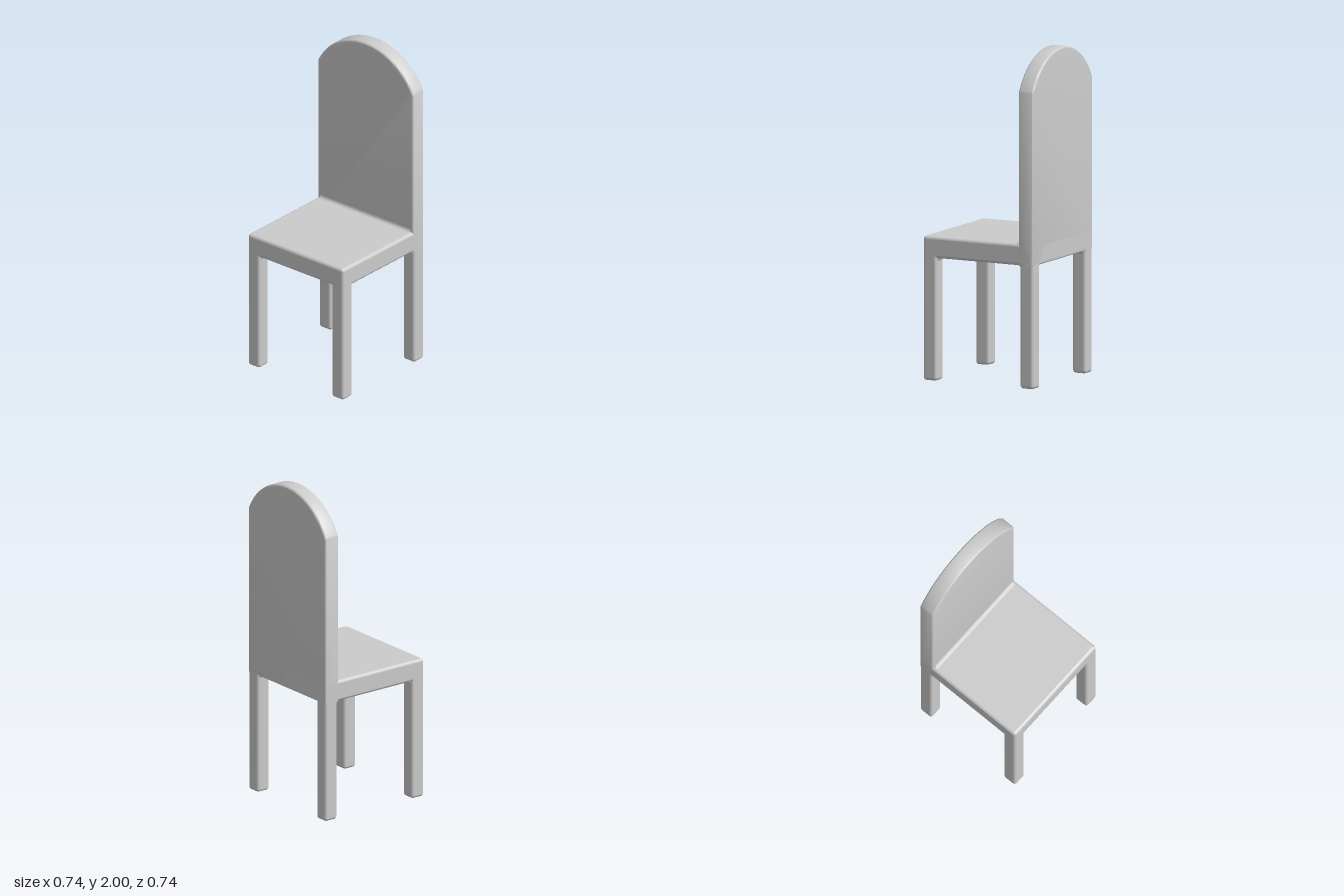
import * as THREE from 'three';
import { RoundedBoxGeometry } from 'three/addons/geometries/RoundedBoxGeometry.js';
import { toCreasedNormals } from 'three/addons/utils/BufferGeometryUtils.js';

const HALF = 0.37;          // half width and half depth of the chair
const LEG = 0.09;           // leg thickness
const SEAT_LOW = 0.735, SEAT_TOP = 0.865;
const BACK_THICK = 0.1, SHOULDER = 1.77, TOP = 2;
const FILLET = 0.02;

const material = new THREE.MeshStandardMaterial({ color: 0xcccccc });

function add(parent, name, geometry, x = 0, y = 0, z = 0) {
  const mesh = new THREE.Mesh(geometry, material);
  mesh.name = name;
  mesh.position.set(x, y, z);
  parent.add(mesh);
  return mesh;
}

// Concave corner strip: fills the angle between the -y and +x directions
function filletGeometry(length) {
  const s = new THREE.Shape();
  s.moveTo(0, 0);
  s.lineTo(0, -FILLET);
  s.absarc(FILLET, -FILLET, FILLET, Math.PI, Math.PI / 2, true);
  s.closePath();
  const g = new THREE.ExtrudeGeometry(s, { depth: length, bevelEnabled: false, curveSegments: 4 });
  g.translate(0, 0, -length / 2);
  return toCreasedNormals(g, 0.6);
}

// Upright panel with an arched top and softened edges
function backGeometry() {
  const rise = TOP - SHOULDER;
  const radius = (HALF * HALF + rise * rise) / (2 * rise);
  const start = Math.asin((radius - rise) / radius);
  const s = new THREE.Shape();
  s.moveTo(-HALF, SEAT_LOW);
  s.lineTo(HALF, SEAT_LOW);
  s.lineTo(HALF, SHOULDER);
  s.absarc(0, TOP - radius, radius, start, Math.PI - start, false);
  s.closePath();
  const bevel = 0.012;
  const g = new THREE.ExtrudeGeometry(s, {
    depth: BACK_THICK - 2 * bevel, bevelThickness: bevel, bevelSize: bevel,
    bevelOffset: -bevel, bevelSegments: 3, curveSegments: 32,
  });
  g.translate(0, 0, -HALF + bevel);
  return toCreasedNormals(g, 0.6);
}

export function createModel() {
  const chair = new THREE.Group();
  chair.name = 'chair';

  // Seat slab and backrest
  add(chair, 'seat', new RoundedBoxGeometry(2 * HALF, SEAT_TOP - SEAT_LOW, 2 * HALF, 4, 0.02),
    0, (SEAT_LOW + SEAT_TOP) / 2, 0);
  add(chair, 'backrest', backGeometry());

  // Soft joint between seat and backrest
  const joint = filletGeometry(2 * HALF - 0.04);
  joint.rotateX(Math.PI);
  joint.rotateY(-Math.PI / 2);
  add(chair, 'backJoint', joint, 0, SEAT_TOP, -HALF + BACK_THICK);

  // Four legs, each blended into the seat on its two inner faces
  const legHeight = SEAT_TOP - 0.03;
  const legGeometry = new RoundedBoxGeometry(LEG, legHeight, LEG, 4, 0.018);
  const legFillet = filletGeometry(LEG - 0.03);
  const centre = HALF - LEG / 2, inner = HALF - LEG;
  for (const sz of [1, -1]) {
    for (const sx of [1, -1]) {
      const leg = new THREE.Group();
      leg.name = (sz > 0 ? 'front' : 'back') + (sx > 0 ? 'Left' : 'Right') + 'Leg';
      add(leg, 'legPost', legGeometry, sx * centre, legHeight / 2, sz * centre);
      add(leg, 'sideFillet', legFillet, sx * inner, SEAT_LOW, sz * centre)
        .rotation.y = sx > 0 ? Math.PI : 0;
      add(leg, 'depthFillet', legFillet, sx * centre, SEAT_LOW, sz * inner)
        .rotation.y = sz * Math.PI / 2;
      chair.add(leg);
    }
  }
  return chair;
}
